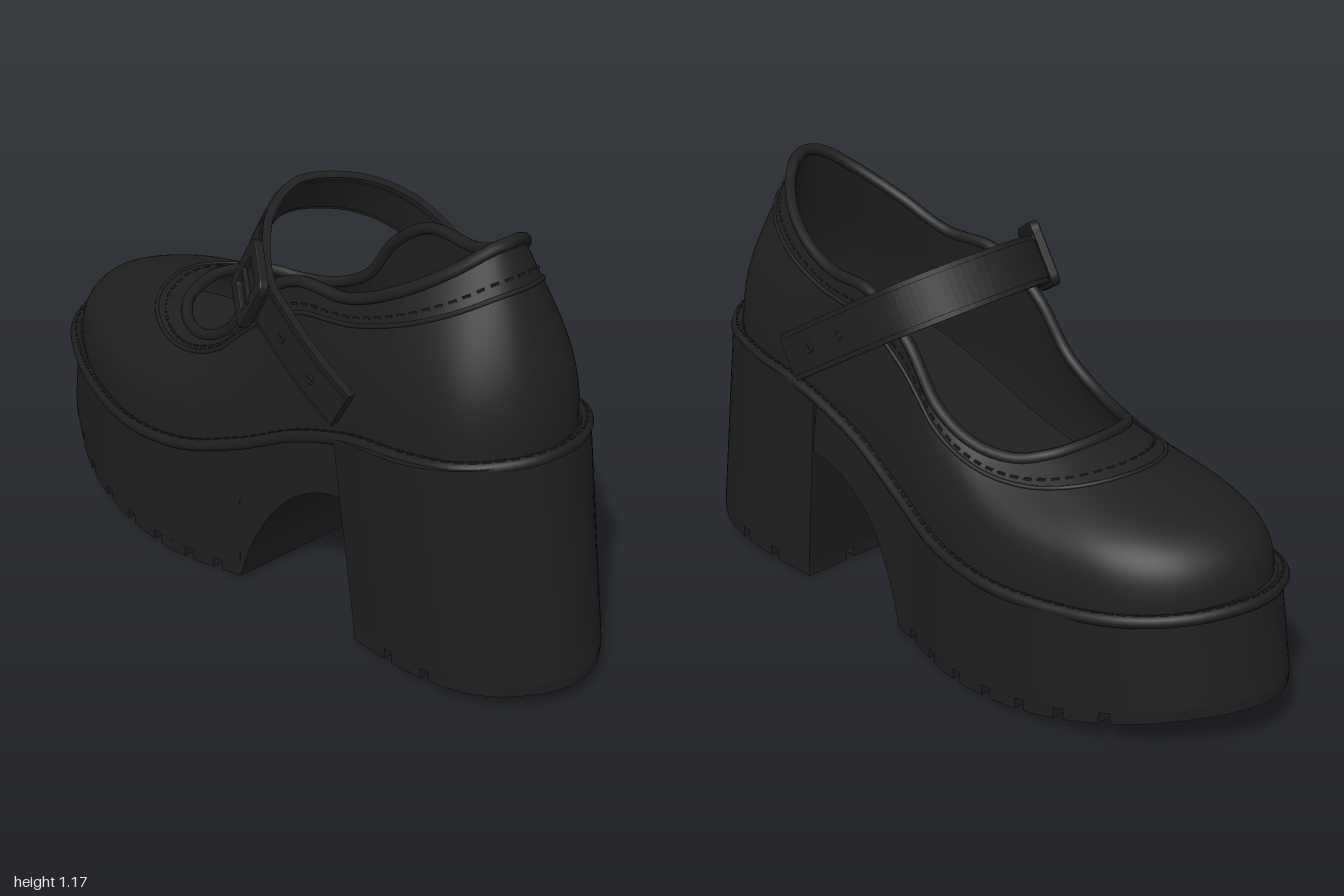
import * as THREE from 'three';
import { mergeGeometries } from 'three/addons/utils/BufferGeometryUtils.js';

const V = (x, y, z) => new THREE.Vector3(x, y, z);

// smooth function through [x, y] points
function ramp(p) {
  const slope = (i) => {
    const a = p[Math.max(i - 1, 0)], b = p[Math.min(i + 1, p.length - 1)];
    return (b[1] - a[1]) / (b[0] - a[0]);
  };
  return (x) => {
    x = Math.min(Math.max(x, p[0][0]), p[p.length - 1][0]);
    let i = 0;
    while (i < p.length - 2 && x > p[i + 1][0]) i++;
    const h = p[i + 1][0] - p[i][0], t = (x - p[i][0]) / h, t2 = t * t, t3 = t2 * t;
    return (2 * t3 - 3 * t2 + 1) * p[i][1] + (t3 - 2 * t2 + t) * h * slope(i) +
      (3 * t2 - 2 * t3) * p[i + 1][1] + (t3 - t2) * h * slope(i + 1);
  };
}

// smooth surface through rows of points; the front faces (along rows) x (along columns)
function sheet(rows) {
  const m = rows[0].length, index = [];
  for (let i = 0; i < rows.length - 1; i++) for (let j = 0; j < m - 1; j++) {
    const a = i * m + j, b = a + m;
    index.push(a, b, a + 1, b, b + 1, a + 1);
  }
  const g = new THREE.BufferGeometry().setFromPoints(rows.flat());
  g.setIndex(index);
  g.computeVertexNormals();
  return g;
}

// block made of upright slices; top(x) and bottom(x) give [x, y, zLow, zHigh]
function columns(xs, top, bottom) {
  const s = xs.map((x) => {
    const t = top(x), b = bottom(x);
    return { tl: V(t[0], t[1], t[2]), th: V(t[0], t[1], t[3]), bl: V(b[0], b[1], b[2]), bh: V(b[0], b[1], b[3]) };
  });
  const e = s[s.length - 1], f = s[0];
  return mergeGeometries([
    sheet(s.map((k) => [k.bh, k.th])), sheet(s.map((k) => [k.tl, k.bl])),
    sheet(s.map((k) => [k.th, k.tl])), sheet(s.map((k) => [k.bl, k.bh])),
    sheet([[f.bl, f.tl], [f.bh, f.th]]), sheet([[e.bh, e.th], [e.bl, e.tl]]),
  ]);
}

// x positions from a to b, packed closely near the rounded end
function span(a, b, n, end) {
  const qa = Math.sqrt(Math.abs(a - end)), qb = Math.sqrt(Math.abs(b - end)), dir = end < 0 ? 1 : -1;
  return Array.from({ length: n + 1 }, (_, i) => end + dir * (qa + (qb - qa) * i / n) ** 2);
}

export function createModel() {
  const shoe = new THREE.Group();
  const leather = new THREE.MeshStandardMaterial({ color: 0x1f1f1f });
  leather.name = 'black leather';
  const rubber = new THREE.MeshStandardMaterial({ color: 0x1e1e1e });
  rubber.name = 'black rubber';
  const add = (name, geo, mat, parent = shoe) => {
    const mesh = new THREE.Mesh(geo, mat);
    mesh.name = name;
    parent.add(mesh);
    return mesh;
  };

  // heights of the sole and its plan outline
  const topY = ramp([[-1, .395], [-.8, .36], [-.5, .335], [-.2, .35], [0, .415], [.2, .52], [.4, .6], [.65, .645], [.9, .69]]);
  const treadY = ramp([[-1, .115], [-.8, .08], [-.5, .03], [-.2, .005], [.045, .02]]);
  const archY = ramp([[.045, .02], [.08, .13], [.13, .23], [.2, .32], [.3, .39], [.42, .425]]);
  const outline = (t) => ramp(t.map(([x, z]) => [Math.sqrt(x + 1), z]));
  const hi = outline([[-1, 0], [-.93, .15], [-.8, .235], [-.62, .32], [-.42, .362], [-.2, .36], [0, .32], [.2, .27], [.42, .255]]);
  const lo = outline([[-1, 0], [-.93, .165], [-.8, .29], [-.62, .36], [-.42, .38], [-.2, .355], [0, .3], [.2, .27], [.42, .265]]);
  const heelHalf = ramp([[0, 0], [.2, .12], [.346, .205], [.5, .255], [.63, .265], [.742, .257]]);
  const soleAt = (x, y, k = 1) => {
    const q = Math.sqrt(Math.max(x + 1, 0));
    return [x < 0 ? x * (k < 1 ? .96 : 1) : x, y, -lo(q) * k, hi(q) * k];
  };
  const heelAt = (x, y) => {
    const h = heelHalf(Math.sqrt(Math.max(1 - x, 0)));
    return [x, y, -h, h];
  };
  const heelBottom = (x) => .012 + (x - .45) * .09;
  const heelTop = (x) => {
    const xt = .385 + (x - .45) * .936, h = heelAt(x, 0)[3] * 1.07;
    return [xt, topY(xt), -h, h];
  };
  const deep = .03;

  // platform, arch and heel block
  const soleTop = (x) => soleAt(x, topY(x), .985);
  add('platform', columns(span(-1, .045, 48, -1), soleTop, (x) => soleAt(x, treadY(x) + deep)), rubber);
  add('arch', columns(span(.045, .42, 24, -1), soleTop, (x) => soleAt(x, archY(x))), rubber);
  add('heel', columns(span(.45, 1, 32, 1), heelTop, (x) => heelAt(x, heelBottom(x) + deep)), rubber);

  // tread lugs, with a staggered channel along the middle
  function treads(name, cuts, end, at, yAt) {
    const parts = [];
    for (let i = 0; i < cuts.length - 1; i++) {
      const a = cuts[i] + (i ? .014 : 0), b = cuts[i + 1] - (i < cuts.length - 2 ? .014 : 0);
      const c = i % 2 ? .1 : -.1;
      for (const side of [-1, 1]) {
        const clip = (x, y) => {
          const [px, py, l, h] = at(x, y);
          return side > 0 ? [px, py, Math.max(l, Math.min(c + .014, h)), h] : [px, py, l, Math.min(h, Math.max(c - .014, l))];
        };
        parts.push(columns(span(a, b, 10, end), (x) => clip(x, yAt(x) + deep), (x) => clip(x, yAt(x))));
      }
    }
    add(name, mergeGeometries(parts), rubber);
  }
  treads('platformTread', [-1, -.73, -.61, -.49, -.37, -.25, -.13, -.03, .045], -1, soleAt, treadY);
  treads('heelTread', [.45, .59, .72, 1], 1, heelAt, heelBottom);

  // upper: [foot x, z low, z high, rim x, rim y, rim half width] from toe to heel
  const rows = [
    [-.93, 0, 0, -.43, .65, 0], [-.87, -.17, .15, -.415, .643, .08], [-.74, -.28, .24, -.38, .63, .15],
    [-.55, -.335, .31, -.31, .615, .2], [-.35, -.355, .345, -.2, .632, .235], [-.15, -.33, .33, -.08, .70, .245],
    [.05, -.285, .29, .03, .84, .24], [.22, -.265, .26, .18, .94, .23], [.42, -.26, .25, .36, .957, .215],
    [.6, -.25, .24, .51, 1.025, .185], [.75, -.21, .2, .62, 1.1, .12], [.84, -.11, .1, .675, 1.153, .05],
    [.865, 0, 0, .688, 1.163, 0],
  ];
  const around = (point) => new THREE.CatmullRomCurve3(
    [...rows.map((r) => point(r, 1)), ...rows.slice(1, -1).reverse().map((r) => point(r, -1))], true);
  const foot = around((r, s) => V(r[0], topY(r[0]) - .005, s > 0 ? r[2] : r[1]));
  const rim = around((r, s) => V(r[3], r[4], s * r[5] - .012));
  const wall = (u, v, lining = false) => {
    const b = foot.getPoint(u % 1), r = rim.getPoint(u % 1);
    if (lining) b.multiply(V(.95, 1, .92)).add(V(0, .03, 0));
    const back = (b.x + .93) / 1.8;
    const p1 = b.clone().add(V(0, (lining ? .15 : .2) - .03 * back, 0));
    const p2 = b.clone().lerp(r, .36 - .08 * back).add(V(0, (lining ? .03 : .07) + .05 * back, 0));
    return new THREE.CubicBezierCurve3(b, p1, p2, r).getPoint(v);
  };
  const N = 120, M = 18;
  const shell = (lining) => sheet(Array.from({ length: N + 1 }, (_, i) =>
    Array.from({ length: M + 1 }, (_, j) => wall(i / N, lining ? 1 - j / M : j / M, lining))));
  add('upper', shell(false), leather);
  add('lining', shell(true), leather);
  add('insole', sheet(Array.from({ length: N / 2 + 1 }, (_, i) =>
    [wall(i / N, 0, true), wall(1 - i / N, 0, true)])), leather);

  // rolled rim, welt and seams
  const tube = (name, curve, r, mat) => add(name, new THREE.TubeGeometry(curve, 160, r, 8, true), mat);
  const loop = (v, n = 60) => new THREE.CatmullRomCurve3(Array.from({ length: n }, (_, i) => wall(i / n, v)), true);
  tube('rimBinding', rim, .016, leather);
  tube('collarSeam', loop(.84), .006, leather);
  const weltAt = (lift) => around((r, s) => V(r[0] * 1.027, topY(r[0]) + lift, (s > 0 ? r[2] : r[1]) * 1.035));
  tube('welt', weltAt(0), .017, rubber);

  function stitches(name, curve, n, mat) {
    const o = new THREE.Object3D();
    add(name, mergeGeometries(Array.from({ length: n }, (_, i) => {
      o.position.copy(curve.getPointAt(i / n));
      o.lookAt(o.position.clone().add(curve.getTangentAt(i / n)));
      o.updateMatrix();
      return new THREE.BoxGeometry(.006, .006, .02).applyMatrix4(o.matrix);
    })), mat);
  }
  stitches('weltStitches', weltAt(.017), 130, rubber);
  stitches('rimStitches', loop(.89), 90, leather);

  // strap: local x runs along it, y across its width, z to the shoe's side
  const strap = new THREE.Group();
  strap.name = 'ankleStrap';
  strap.position.set(-.092, 1.015, 0);
  strap.rotation.z = -.535;
  shoe.add(strap);
  const path = new THREE.SplineCurve([[.61, -.308], [.45, -.308], [.28, -.3], [.15, -.26], [.05, -.16], [0, 0], [.05, .13],
    [.13, .21], [.24, .275], [.35, .29], [.48, .295], [.61, .285]].map(([x, z]) => new THREE.Vector2(x, z)));
  const edge = (k) => Array.from({ length: 91 }, (_, i) => {
    const p = path.getPoint(i / 90), t = path.getTangent(i / 90);
    return new THREE.Vector2(p.x + t.y * k, p.y - t.x * k);
  });
  const band = (name, k, width) => add(name, new THREE.ExtrudeGeometry(
    new THREE.Shape([...edge(k), ...edge(-k).reverse()]), { depth: width, bevelEnabled: false })
    .rotateX(Math.PI / 2).translate(0, width / 2, 0), leather, strap);
  band('strapBand', .011, .132);
  band('strapPadding', .015, .105);

  // eyelets on both strap ends
  for (const [s, z] of [[.37, .306], [.5, .31], [.37, -.32], [.5, -.324]]) {
    const eyelet = add('strapEyelet', new THREE.TorusGeometry(.01, .004, 6, 14), leather, strap);
    eyelet.position.set(s, 0, z);
  }

  // square buckle with prong
  const buckle = new THREE.Group();
  buckle.name = 'buckle';
  buckle.position.set(.215, .015, .28);
  buckle.rotation.y = -.5;
  strap.add(buckle);
  const rounded = (path2, w, h, r) => {
    path2.moveTo(-w + r, -h).lineTo(w - r, -h).quadraticCurveTo(w, -h, w, -h + r).lineTo(w, h - r)
      .quadraticCurveTo(w, h, w - r, h).lineTo(-w + r, h).quadraticCurveTo(-w, h, -w, h - r)
      .lineTo(-w, -h + r).quadraticCurveTo(-w, -h, -w + r, -h);
    return path2;
  };
  const frame = rounded(new THREE.Shape(), .078, .088, .025);
  frame.holes.push(rounded(new THREE.Path(), .05, .06, .015));
  add('buckleFrame', new THREE.ExtrudeGeometry(frame,
    { depth: .016, bevelSize: .005, bevelThickness: .005, bevelSegments: 2 }).translate(0, 0, .012), leather, buckle);
  add('bucklePad', new THREE.BoxGeometry(.15, .115, .02).translate(0, 0, .008), leather, buckle);
  add('bucklePin', new THREE.CylinderGeometry(.007, .007, .13, 8).rotateZ(Math.PI / 2).translate(0, 0, .028), leather, buckle);

  return shoe;
}
